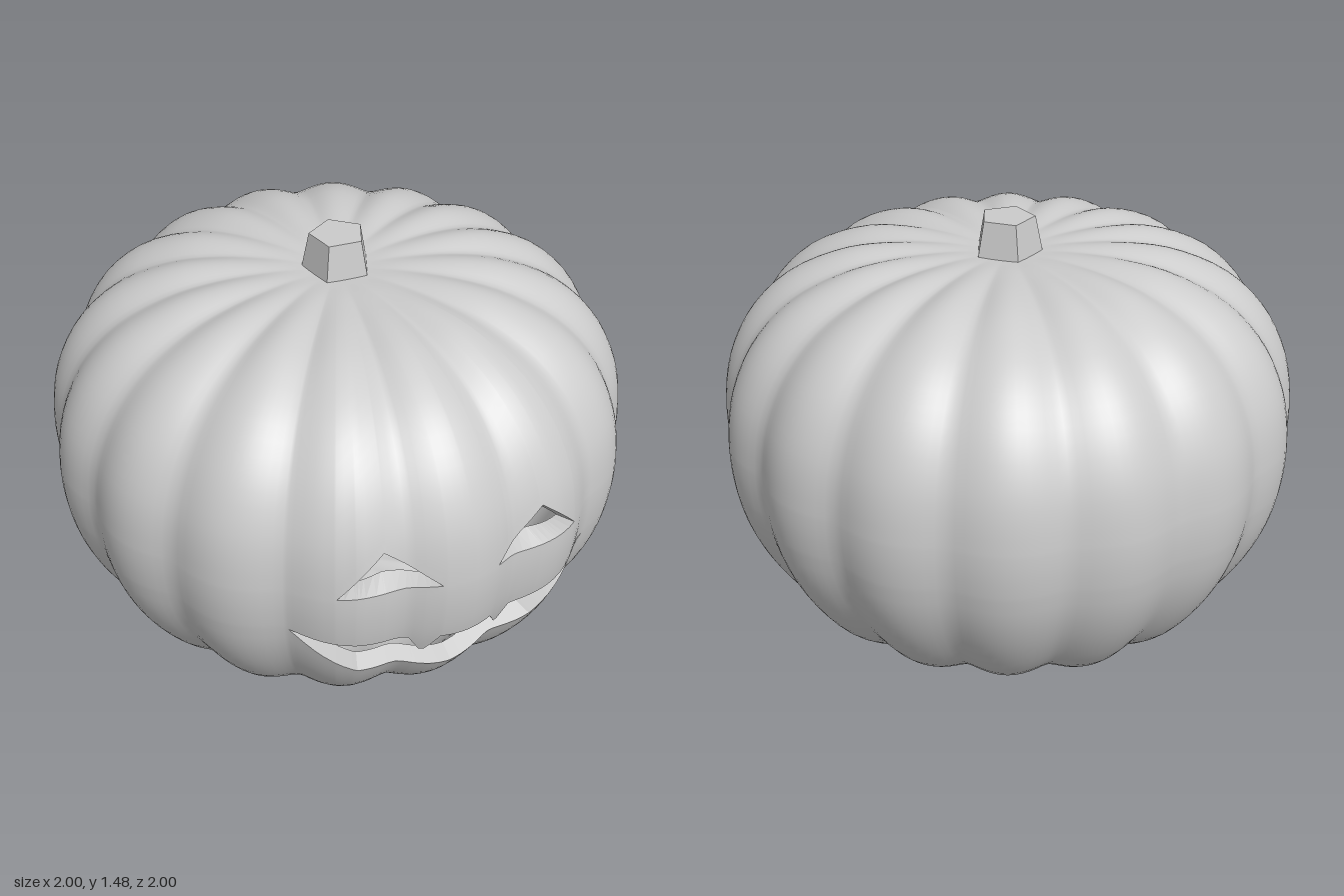
import * as THREE from 'three';
import { mergeVertices } from 'three/addons/utils/BufferGeometryUtils.js';

const MID = 0.68;    // height the shell is scaled about
const INNER = 0.93;  // scale of the hollow inside
const material = new THREE.MeshStandardMaterial({ color: 0xcccccc });
const rimMaterial = new THREE.MeshStandardMaterial({ color: 0xcccccc, flatShading: true, side: THREE.DoubleSide });

// Radius and height of the body, bottom to top
const profile = new THREE.SplineCurve([
  [0.1, 0.015], [0.26, 0.008], [0.45, 0.004], [0.61, 0.045], [0.76, 0.15], [0.885, 0.32], [0.965, 0.5],
  [0.998, 0.68], [0.995, 0.85], [0.96, 1.0], [0.88, 1.145], [0.75, 1.265], [0.57, 1.345], [0.41, 1.37],
  [0.24, 1.367], [0.12, 1.357], [0.03, 1.35],
].map(([r, y]) => new THREE.Vector2(r, y)));

// Point on the ribbed skin: sixteen rounded lobes with narrow grooves
function skinPoint(theta, s, scale = 1) {
  const p = profile.getPoint(s);
  const lobe = Math.sqrt((Math.cos(8 * theta) ** 2 + 0.04) / 1.04);
  const depth = 0.042 * THREE.MathUtils.smoothstep(p.x, 0.1, 0.55);
  const f = scale * (1 - depth * (1 - lobe));
  return new THREE.Vector3(p.x * Math.sin(theta) * f, MID + (p.y - MID) * f, p.x * Math.cos(theta) * f);
}

// Skin coordinates (theta, s) of a front position (x, y)
function locate([x, y]) {
  let theta = Math.asin(x / 0.96), s = 0.5;
  for (let pass = 0; pass < 12; pass++) {
    let lo = 0.15, hi = 0.72;
    for (let i = 0; i < 30; i++) {
      s = (lo + hi) / 2;
      if (skinPoint(theta, s).y < y) lo = s; else hi = s;
    }
    const p = skinPoint(theta, s);
    theta = Math.asin(x / Math.hypot(p.x, p.z));
  }
  return [theta, s];
}

// Polyline around the body, closed behind at one common height
function outline(points) {
  const located = points.map(locate);
  return [[-Math.PI, located[0][1]], ...located, [Math.PI, located[0][1]]];
}

function heightAt(line, theta) {
  let i = 0;
  while (i < line.length - 2 && theta > line[i + 1][0]) i++;
  const [t0, s0] = line[i], [t1, s1] = line[i + 1];
  return s0 + (s1 - s0) * THREE.MathUtils.clamp((theta - t0) / (t1 - t0), 0, 1);
}

// Carved openings: lower and upper edges, x from left to right
const mouthLow = outline([[-0.52, 0.61], [-0.31, 0.395], [0.02, 0.327], [0.32, 0.405], [0.55, 0.61]]);
const mouthHigh = outline([[-0.52, 0.61], [-0.34, 0.57], [-0.165, 0.548], [-0.125, 0.476], [-0.11, 0.476],
  [-0.07, 0.55], [0.115, 0.55], [0.155, 0.476], [0.17, 0.476], [0.2, 0.548], [0.36, 0.57], [0.55, 0.61]]);
const eyes = (middle) => outline([[-0.405, 0.787], [-0.255, middle], [-0.08, 0.787],
  [0.12, 0.787], [0.29, middle], [0.44, 0.787]]);
const eyeLow = eyes(0.787), eyeLowInner = eyes(0.825), eyeHigh = eyes(0.935);

// Columns: even steps plus every corner of an opening
const COUNT = 192;
const columns = [...Array(COUNT + 1).keys()].map((i) => -Math.PI + (2 * Math.PI * i) / COUNT);
for (const line of [mouthLow, mouthHigh, eyeLow, eyeHigh]) columns.push(...line.slice(1, -1).map((p) => p[0]));
columns.sort((a, b) => a - b);
const thetas = columns.filter((t, i) => i === 0 || t - columns[i - 1] > 1e-5);

// Grid geometry from a point function over columns and rows
function grid(cols, rows, point, flip = false, out = { pos: [], idx: [] }) {
  const start = out.pos.length / 3;
  for (let i = 0; i < cols; i++) {
    for (let j = 0; j <= rows; j++) out.pos.push(...point(i, j / rows).toArray());
  }
  for (let i = 0; i < cols - 1; i++) {
    for (let j = 0; j < rows; j++) {
      const a = start + i * (rows + 1) + j, b = a + rows + 1;
      if (flip) out.idx.push(a, b + 1, b, a, a + 1, b + 1);
      else out.idx.push(a, b, b + 1, a, b + 1, a + 1);
    }
  }
  return out;
}

function toGeometry({ pos, idx }) {
  const g = new THREE.BufferGeometry();
  g.setAttribute('position', new THREE.Float32BufferAttribute(pos, 3));
  g.setIndex(idx);
  const merged = mergeVertices(g, 1e-4);
  merged.computeVertexNormals();
  return merged;
}

// Skin in three bands: below the mouth, mouth to eyes, above the eyes
function skin(scale, eyeFloor, flip) {
  const out = { pos: [], idx: [] };
  const bottom = [[-Math.PI, 0], [Math.PI, 0]], top = [[-Math.PI, 1], [Math.PI, 1]];
  for (const [low, high, rows] of [[bottom, mouthLow, 24], [mouthHigh, eyeFloor, 10], [eyeHigh, top, 28]]) {
    grid(thetas.length, rows, (i, v) => {
      const t = thetas[i];
      return skinPoint(t, THREE.MathUtils.lerp(heightAt(low, t), heightAt(high, t), v), scale);
    }, flip, out);
  }
  return toGeometry(out);
}

// Cut wall between the outer and inner skin along one edge of an opening
function rim(from, to, outerLine, innerLine = outerLine) {
  const span = thetas.filter((t) => t >= from - 1e-4 && t <= to + 1e-4);
  return toGeometry(grid(span.length, 1, (i, v) => (v === 0
    ? skinPoint(span[i], heightAt(outerLine, span[i]))
    : skinPoint(span[i], heightAt(innerLine, span[i]), INNER))));
}

export function createModel() {
  const group = new THREE.Group();
  const add = (name, geometry, mat = material) => {
    const mesh = new THREE.Mesh(geometry, mat);
    mesh.name = name;
    group.add(mesh);
    return mesh;
  };

  add('outerSkin', skin(1, eyeLow, false));
  add('innerSkin', skin(INNER, eyeLowInner, true));

  // Walls of the carved mouth and eyes
  const mouthEnds = [mouthLow[1][0], mouthLow[5][0]];
  add('mouthLowerRim', rim(...mouthEnds, mouthLow), rimMaterial);
  add('mouthUpperRim', rim(...mouthEnds, mouthHigh), rimMaterial);
  for (const [side, first] of [['right', 1], ['left', 4]]) {
    const ends = [eyeLow[first][0], eyeLow[first + 2][0]];
    add(side + 'EyeLowerRim', rim(...ends, eyeLow, eyeLowInner), rimMaterial);
    add(side + 'EyeUpperRim', rim(...ends, eyeHigh), rimMaterial);
  }

  // Flat disc under the body
  const base = add('baseDisc', new THREE.CircleGeometry(0.1, 32));
  base.rotation.x = Math.PI / 2;
  base.position.y = 0.015;

  // Five-sided stem
  const stem = add('stem', new THREE.CylinderGeometry(0.095, 0.122, 0.135, 5), rimMaterial);
  stem.rotation.y = Math.PI - 0.08;
  stem.position.set(0.005, 1.41, -0.005);

  return group;
}
